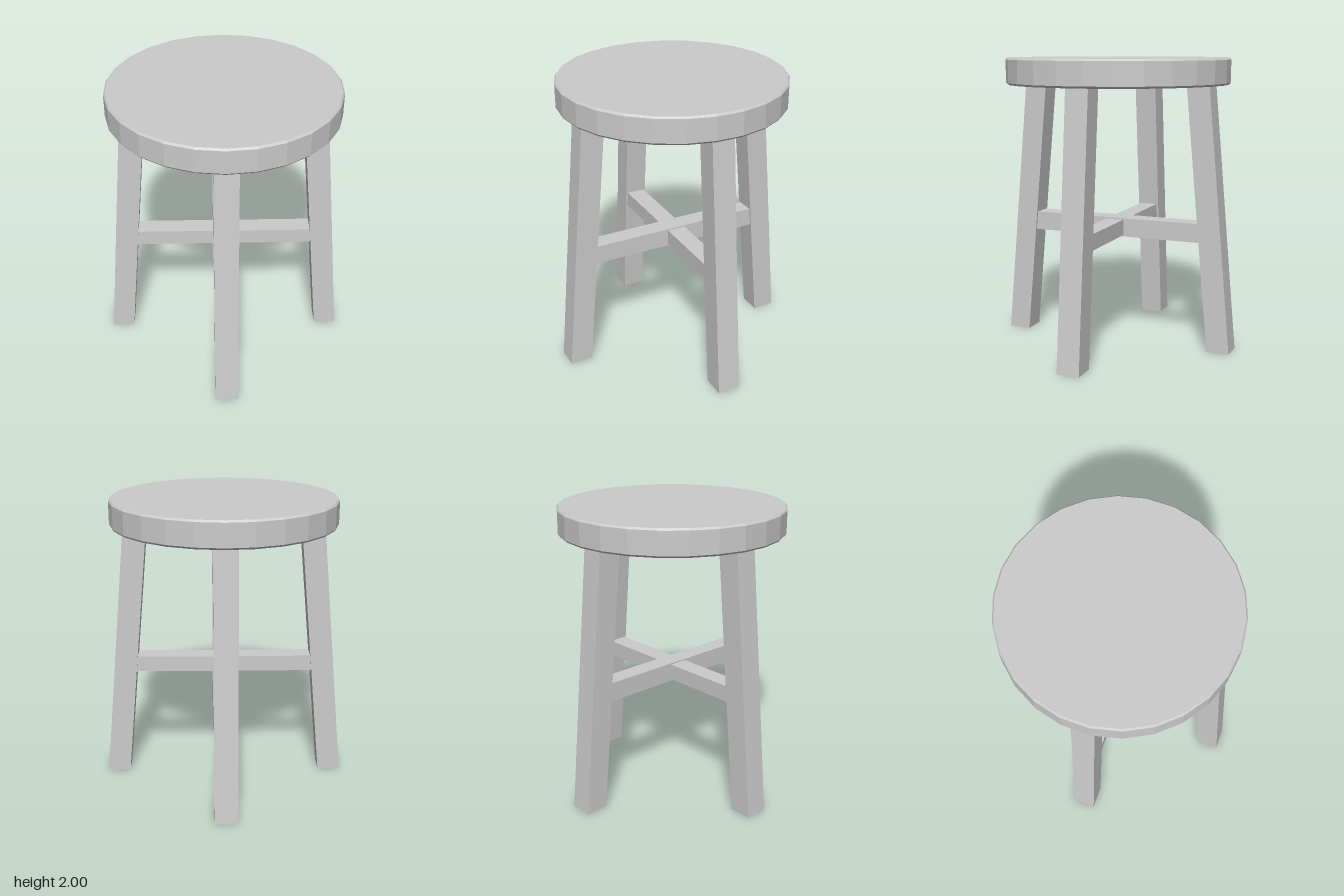
import * as THREE from 'three';

const SEAT_BOTTOM = 1.82;
const LEG_SIZE = 0.157;
const FOOT_RADIUS = 0.767; // leg centre distance from the axis at the floor
const TOP_RADIUS = 0.6; // and under the seat

export function createModel() {
  const group = new THREE.Group();
  const material = new THREE.MeshStandardMaterial({ color: 0xcccccc, flatShading: true });

  const addPart = (parent, name, geometry) => {
    const mesh = new THREE.Mesh(geometry, material);
    mesh.name = name;
    parent.add(mesh);
    return mesh;
  };

  // Round faceted seat with small bevels
  const profile = [
    [0, SEAT_BOTTOM], [0.76, SEAT_BOTTOM], [0.771, SEAT_BOTTOM + 0.013],
    [0.771, 1.987], [0.76, 2], [0, 2],
  ].map(([r, y]) => new THREE.Vector2(r, y));
  const seat = addPart(group, 'seat', new THREE.LatheGeometry(profile, 26));
  seat.rotation.y = THREE.MathUtils.degToRad(3.7);

  // Underframe, turned relative to the front
  const frame = new THREE.Group();
  frame.name = 'underframe';
  frame.rotation.y = THREE.MathUtils.degToRad(-23.5);
  group.add(frame);

  // Four square legs, sheared outward so their feet stay flat
  const lean = (TOP_RADIUS - FOOT_RADIUS) / SEAT_BOTTOM;
  const legGeometry = new THREE.BoxGeometry(LEG_SIZE, SEAT_BOTTOM, LEG_SIZE)
    .translate(FOOT_RADIUS, SEAT_BOTTOM / 2, 0)
    .applyMatrix4(new THREE.Matrix4().set(1, lean, 0, 0, 0, 1, 0, 0, 0, 0, 1, 0, 0, 0, 0, 1));
  ['leftLeg', 'backLeg', 'rightLeg', 'frontLeg'].forEach((name, i) => {
    addPart(frame, name, legGeometry).rotation.y = (i * Math.PI) / 2;
  });

  // Crossed stretchers, one slightly taller than the other
  const stretcherY = 0.825;
  addPart(frame, 'sideStretcher', new THREE.BoxGeometry(1.3, 0.11, 0.13)).position.y = stretcherY;
  addPart(frame, 'frontToBackStretcher', new THREE.BoxGeometry(0.13, 0.13, 1.3)).position.y = stretcherY;

  return group;
}
